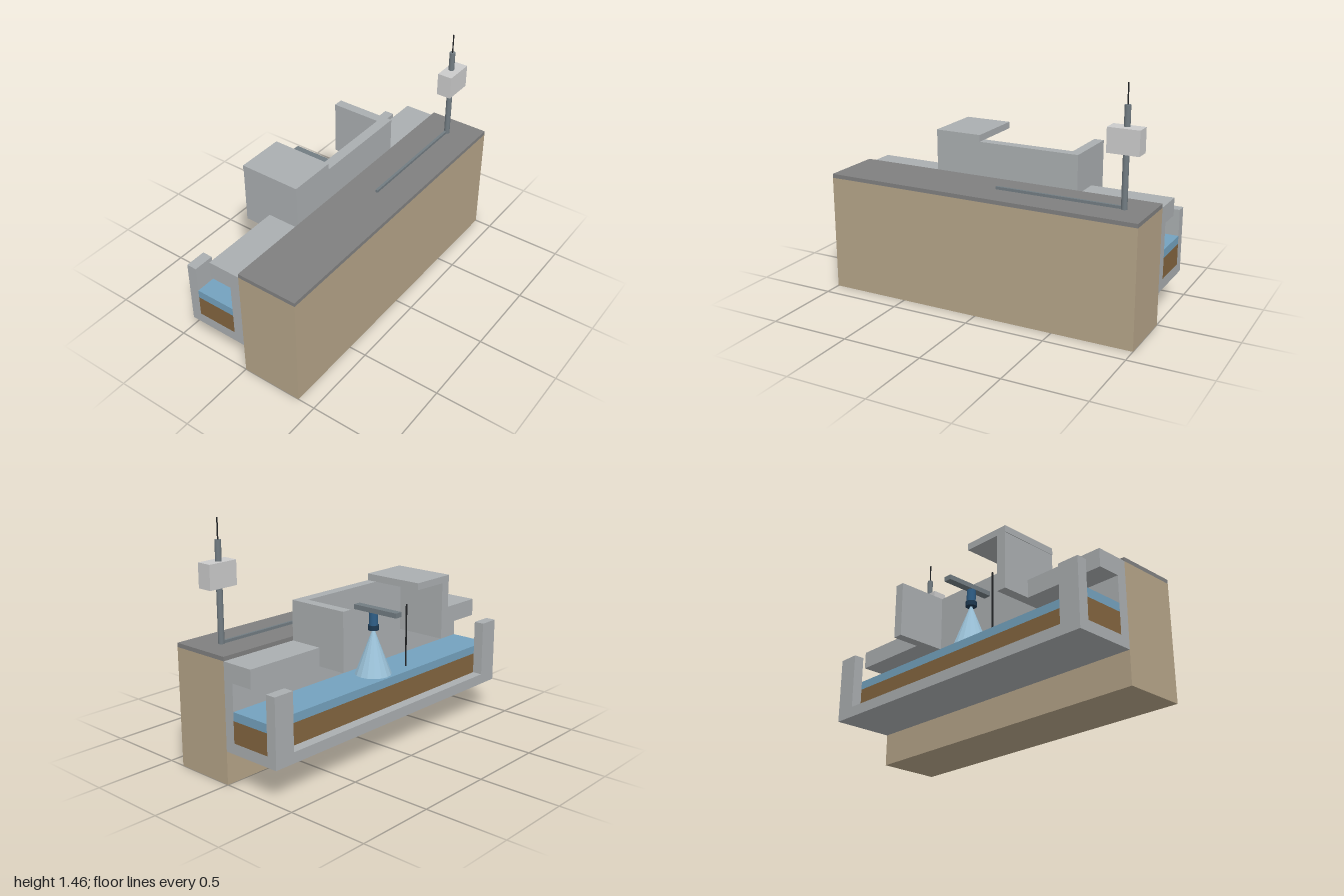
import * as THREE from 'three';

const mat = (color, flatShading = false) => new THREE.MeshStandardMaterial({ color, flatShading });

export function createModel() {
  const model = new THREE.Group();
  const concrete = mat(0xaaaeb0), earth = mat(0xb5a488), paving = mat(0x808080);
  const steel = mat(0x727c82), dark = mat(0x222426);

  const add = (name, geometry, material, x, y, z) => {
    const mesh = new THREE.Mesh(geometry, material);
    mesh.name = name;
    mesh.position.set(x, y, z);
    model.add(mesh);
  };
  // Box given by its minimum and maximum on each axis
  const box = (name, material, [x0, x1], [y0, y1], [z0, z1]) =>
    add(name, new THREE.BoxGeometry(x1 - x0, y1 - y0, z1 - z0), material,
      (x0 + x1) / 2, (y0 + y1) / 2, (z0 + z1) / 2);
  // Upright cylinder or cone between two heights
  const post = (name, material, rTop, rBottom, [y0, y1], x, z, sides = 16) =>
    add(name, new THREE.CylinderGeometry(rTop, rBottom, y1 - y0, sides), material, x, (y0 + y1) / 2, z);

  // Bank with paved top
  box('bank', earth, [-1, 1], [0, 0.72], [0, 0.39]);
  box('pavedTop', paving, [-1, 1], [0.72, 0.745], [0, 0.39]);

  // Channel: floor, wall against the bank, end pillars and overhanging ledges
  box('channelFloor', concrete, [-1, 1], [0.2, 0.265], [-0.39, 0]);
  box('channelWall', concrete, [-1, 1], [0.265, 0.61], [-0.065, 0]);
  for (const s of [-1, 1]) {
    const span = (a, b) => (s > 0 ? [a, b] : [-b, -a]);
    box('endPillar', concrete, span(0.867, 1), [0.265, 0.61], [-0.39, -0.325]);
    box('ledge', concrete, span(0.477, 1), [0.61, 0.72], [-0.21, 0]);
    box('bayCheekWall', concrete, span(0.415, 0.477), [0.61, 0.96], [-0.39, 0]);
  }

  // Sediment and water in the channel
  box('sediment', mat(0x83653f), [-1, 1], [0.265, 0.395], [-0.325, -0.065]);
  box('water', mat(0x74a2be), [-1, 1], [0.395, 0.447], [-0.325, -0.065]);

  // Raised bay with partial roof
  box('bayBackWall', concrete, [-0.415, 0.415], [0.61, 0.96], [-0.065, 0]);
  box('bayRoof', concrete, [-0.48, -0.175], [0.96, 1.002], [-0.39, 0]);

  // Sensor on its bracket, with the beam cone reaching the water
  box('bracketArm', steel, [-0.025, 0.025], [0.828, 0.858], [-0.39, -0.002]);
  post('sensorBody', mat(0x2f5f88), 0.027, 0.027, [0.75, 0.828], 0, -0.198);
  post('sensorCollar', mat(0x1d3850), 0.034, 0.034, [0.72, 0.75], 0, -0.198);
  post('beamCone', mat(0x9cc3da, true), 0.006, 0.112, [0.447, 0.722], 0, -0.198);

  // Thin gauge rod
  post('gaugeRod', dark, 0.005, 0.005, [0.447, 0.84], -0.24, -0.255, 8);

  // Mast with cabinet, aerial and cable duct
  post('mast', steel, 0.018, 0.018, [0.745, 1.335], 0.845, 0.195);
  post('aerial', dark, 0.004, 0.004, [1.335, 1.456], 0.845, 0.195, 8);
  box('cabinet', mat(0xd2d3d4), [0.75, 0.942], [1.07, 1.215], [0.157, 0.252]);
  box('cableDuct', steel, [0.042, 0.835], [0.745, 0.762], [0.184, 0.2]);

  return model;
}
